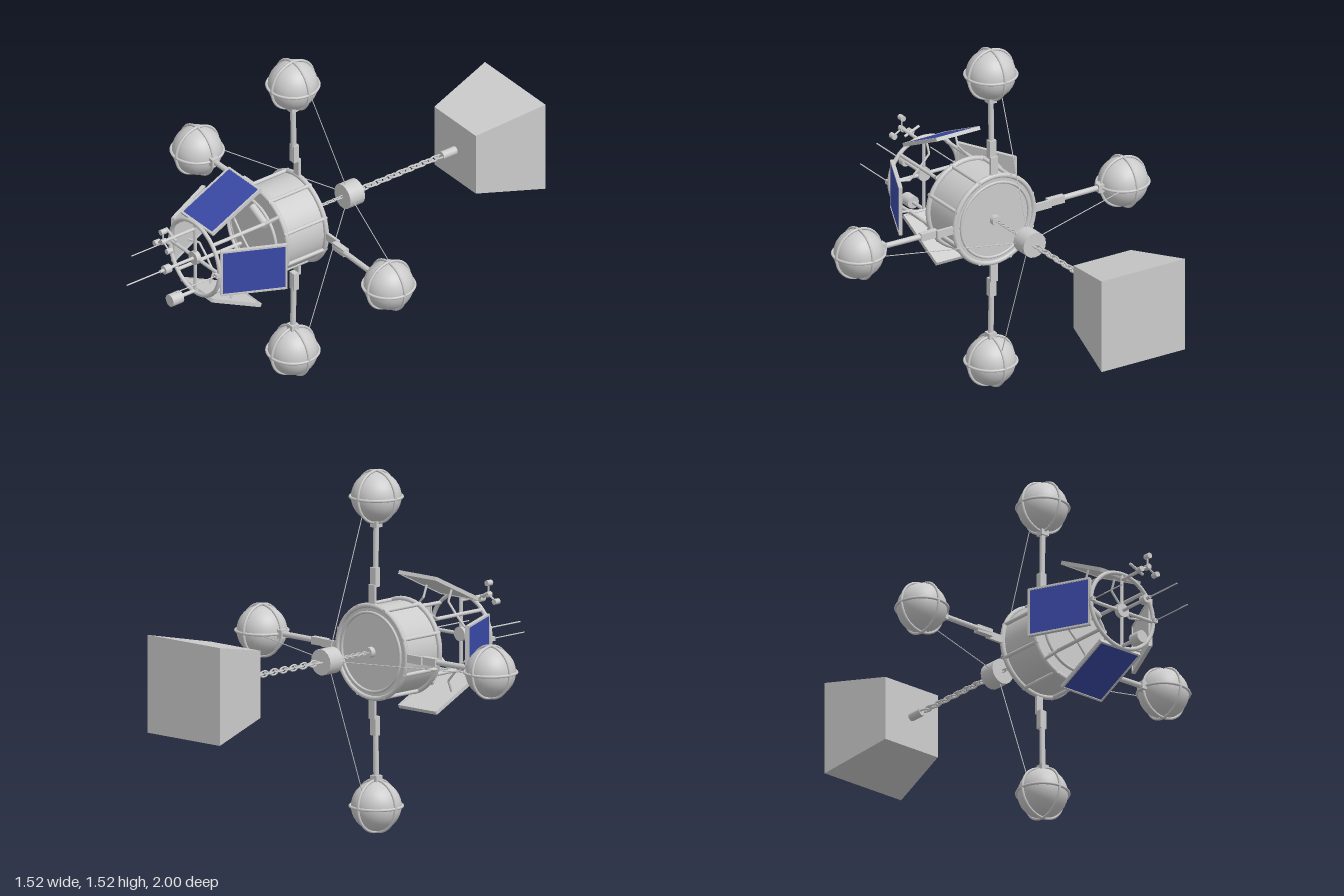
import * as THREE from 'three';

const grey = new THREE.MeshStandardMaterial({ color: 0xcccccc });
const flat = new THREE.MeshStandardMaterial({ color: 0xcccccc, flatShading: true });
const blue = new THREE.MeshStandardMaterial({ color: 0x3a4aa8 });
const V = (x, y, z) => new THREE.Vector3(x, y, z);

function add(parent, name, geo, x = 0, y = 0, z = 0, mat = grey) {
  const m = new THREE.Mesh(geo, mat);
  m.name = name;
  m.position.set(x, y, z);
  parent.add(m);
  return m;
}

// Round bar between two points
function rod(parent, name, a, b, r, seg = 10) {
  const d = b.clone().sub(a);
  const m = add(parent, name, new THREE.CylinderGeometry(r, r, d.length(), seg));
  m.position.copy(a).addScaledVector(d, 0.5);
  m.quaternion.setFromUnitVectors(V(0, 1, 0), d.normalize());
  return m;
}

const hoop = (parent, name, R, r, z) => add(parent, name, new THREE.TorusGeometry(R, r, 8, 48), 0, 0, z);

// Alternating links along z
function chain(parent, name, z0, z1, n, R, r) {
  const g = new THREE.Group();
  g.name = name;
  const step = (z1 - z0) / n;
  for (let i = 0; i < n; i++) {
    const link = add(g, 'link', new THREE.TorusGeometry(R, r, 6, 14), 0, 0, z0 + step * (i + 0.5));
    link.rotation.set(Math.PI / 2, i % 2 ? Math.PI / 2 : 0, 0, 'ZYX');
    if (i % 2) link.rotation.set(0, Math.PI / 2, 0);
    link.scale.y = i % 2 ? 1 : Math.abs(step) * 0.72 / R;
    link.scale.x = i % 2 ? Math.abs(step) * 0.72 / R : 1;
  }
  parent.add(g);
}

// Float on its arm, pointing along +y
function makeFloatArm() {
  const g = new THREE.Group();
  g.name = 'floatArm';
  const c = V(0, 0.645, 0.145);
  add(g, 'float', new THREE.SphereGeometry(0.104, 32, 20), c.x, c.y, c.z);
  for (const [rx, ry] of [[0, 0], [Math.PI / 2, 0], [0, Math.PI / 2]]) {
    const band = add(g, 'floatBand', new THREE.TorusGeometry(0.108, 0.006, 8, 40), c.x, c.y, c.z);
    band.rotation.set(rx, ry, 0);
  }
  rod(g, 'arm', V(0, 0.27, 0.14), V(0, 0.54, 0.145), 0.012);
  add(g, 'armBracket', new THREE.BoxGeometry(0.034, 0.09, 0.012), 0, 0.235, 0.122);
  add(g, 'armSleeve', new THREE.BoxGeometry(0.032, 0.08, 0.026), 0, 0.31, 0.138);
  add(g, 'armCap', new THREE.BoxGeometry(0.036, 0.025, 0.036), 0, 0.53, 0.145);
  rod(g, 'stayRope', V(0, 0.57, 0.06), V(0, 0.052, -0.125), 0.002, 6);
  return g;
}

// Tilted solar panel above the tower, facing +y
function makePanel() {
  const g = new THREE.Group();
  g.name = 'solarPanel';
  const p = new THREE.Group();
  p.name = 'panel';
  p.position.set(0, 0.22, 0.515);
  p.rotation.x = Math.atan2(0.12, 0.25);
  add(p, 'panelBack', new THREE.BoxGeometry(0.21, 0.01, 0.277));
  add(p, 'panelCells', new THREE.BoxGeometry(0.194, 0.004, 0.261), 0, 0.0045, 0, blue);
  for (const s of [-1, 1]) {
    add(p, 'panelEdge', new THREE.BoxGeometry(0.008, 0.016, 0.277), s * 0.103);
    add(p, 'panelEdge', new THREE.BoxGeometry(0.21, 0.016, 0.008), 0, 0, s * 0.136);
    rod(g, 'panelStrut', V(s * 0.115, 0.115, 0.5), V(s * 0.07, 0.165, 0.5), 0.005, 8);
    rod(g, 'panelStrut', V(s * 0.07, 0.165, 0.5), V(s * 0.07, 0.215, 0.52), 0.005, 8);
  }
  g.add(p);
  return g;
}

export function createModel() {
  const model = new THREE.Group();
  model.name = 'mooredBuoy';
  const b = new THREE.Group();
  b.name = 'buoy';
  b.position.y = 0.76;
  model.add(b);
  const cylZ = (name, r, z0, z1, x = 0, y = 0) => rod(b, name, V(x, y, z0), V(x, y, z1), r, r > 0.1 ? 48 : 16);

  // Drum hull with hoops and side rods
  cylZ('drum', 0.187, 0.118, 0.325);
  for (const z of [0.12, 0.318]) hoop(b, 'drumHoop', 0.193, 0.011, z);
  hoop(b, 'drumRim', 0.165, 0.006, 0.114);
  cylZ('drumBoss', 0.022, 0.095, 0.12);
  for (let i = 0; i < 8; i++) {
    const a = (i + 0.5) * Math.PI / 4;
    cylZ('drumRod', 0.008, 0.11, 0.33, 0.195 * Math.cos(a), 0.195 * Math.sin(a));
  }

  // Four floats and four panels around the axis
  for (let i = 0; i < 4; i++) {
    for (const part of [makeFloatArm(), makePanel()]) {
      part.rotation.z = i * Math.PI / 2;
      b.add(part);
    }
  }

  // Tower frame
  for (let i = 0; i < 4; i++) {
    const a = Math.PI / 4 + i * Math.PI / 2, c = Math.cos(a), s = Math.sin(a);
    cylZ('towerPost', 0.008, 0.32, 0.65, 0.163 * c, 0.163 * s);
    rod(b, 'postFoot', V(0.2 * c, 0.2 * s, 0.325), V(0.163 * c, 0.163 * s, 0.38), 0.008);
    const e = a - Math.PI / 4;
    rod(b, 'towerSpoke', V(0, 0, 0.648), V(0.165 * Math.cos(e), 0.165 * Math.sin(e), 0.648), 0.008);
  }
  hoop(b, 'towerTopRing', 0.166, 0.009, 0.65);
  hoop(b, 'towerBaseRing', 0.163, 0.007, 0.355);
  cylZ('towerHub', 0.03, 0.638, 0.66);

  // Instrument canisters at the tower foot
  for (const s of [-1, 1]) {
    rod(b, 'canister', V(0.02, s * 0.15, 0.37), V(0.115, s * 0.105, 0.37), 0.017, 16);
  }

  // Central mast and side aerials
  cylZ('centreMast', 0.007, 0.65, 0.83);
  cylZ('mastSensor', 0.019, 0.78, 0.81);
  cylZ('centreAerial', 0.003, 0.83, 1.0);
  for (const s of [-1, 1]) {
    add(b, 'aerialBase', new THREE.BoxGeometry(0.018, 0.018, 0.022), s * 0.165, 0, 0.66);
    cylZ('sideAerial', 0.0025, 0.66, s > 0 ? 0.87 : 0.85, s * 0.165, 0);
  }

  // Wind sensor with three cups
  cylZ('windMast', 0.007, 0.65, 0.82, 0, 0.14);
  cylZ('windHub', 0.012, 0.8, 0.825, 0, 0.14);
  for (let i = 0; i < 3; i++) {
    const a = Math.PI / 2 + i * Math.PI * 2 / 3;
    const x = 0.048 * Math.cos(a), y = 0.14 + 0.048 * Math.sin(a);
    rod(b, 'windArm', V(0, 0.14, 0.813), V(x, y, 0.813), 0.004, 8);
    cylZ('windCup', 0.012, 0.8, 0.828, x, y);
  }
  rod(b, 'windVane', V(-0.05, 0.16, 0.76), V(0.02, 0.13, 0.76), 0.006, 8);

  // Beacon lamp
  cylZ('lampStem', 0.008, 0.64, 0.73, 0, -0.16);
  cylZ('lamp', 0.027, 0.725, 0.78, 0, -0.16);

  // Mooring line
  chain(b, 'bridleChain', 0.1, -0.11, 12, 0.007, 0.0025);
  cylZ('mooringSwivel', 0.055, -0.185, -0.11);
  chain(b, 'mooringChain', -0.185, -0.625, 15, 0.012, 0.004);
  cylZ('anchorEye', 0.018, -0.69, -0.62);

  // Square tapered anchor block
  const block = new THREE.CylinderGeometry(0.14 * Math.SQRT2, 0.204 * Math.SQRT2, 0.31, 4);
  block.rotateY(Math.PI / 4).rotateX(Math.PI / 2);
  add(b, 'anchorBlock', block, 0, 0, -0.845, flat);
  return model;
}
